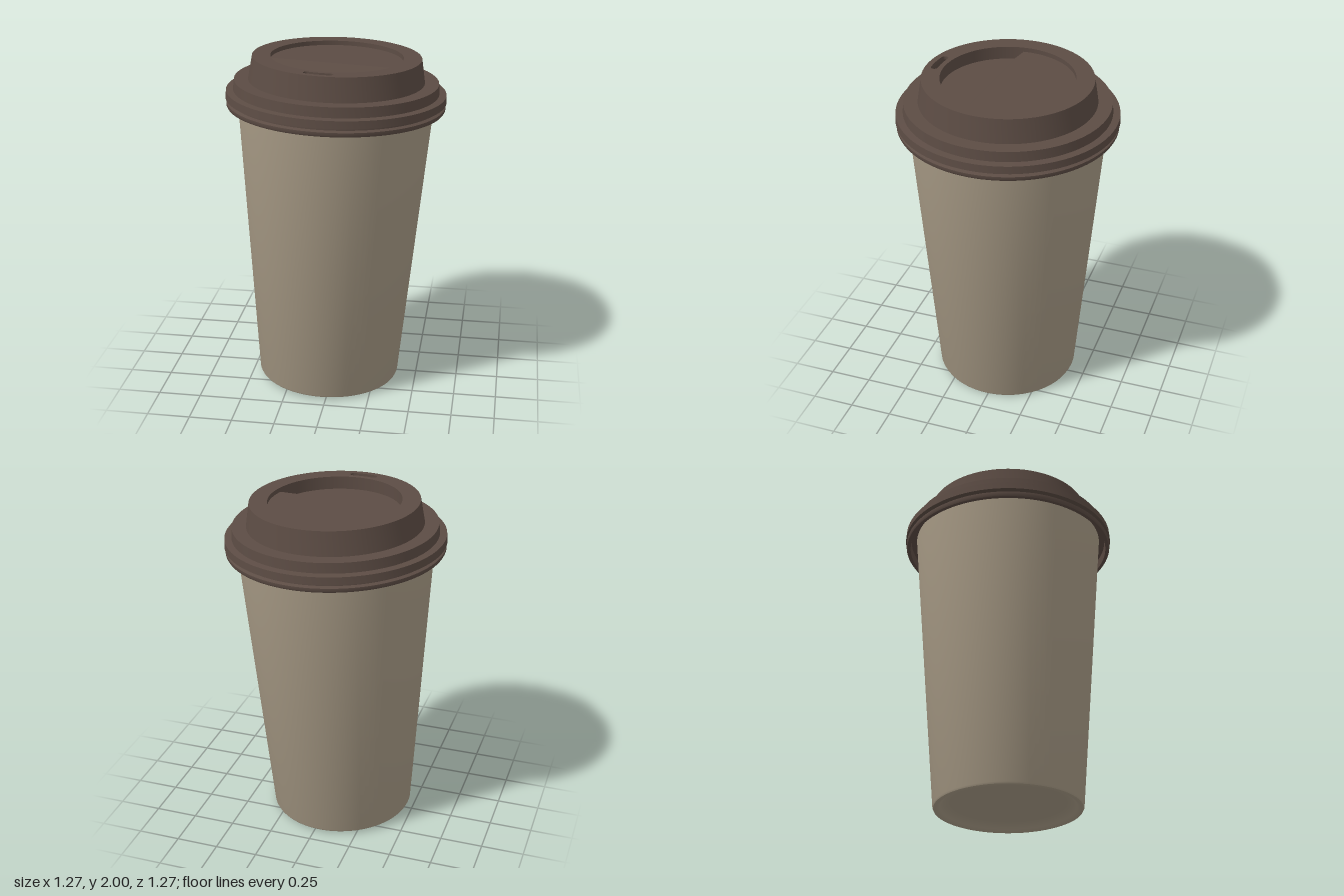
import * as THREE from 'three';
import { toCreasedNormals } from 'three/addons/utils/BufferGeometryUtils.js';

const SEG = 96;
const TOP = 1.975;      // top of the lid
const RECESS_R = 0.38;  // round recess in the lid
const cupMat = new THREE.MeshStandardMaterial({ color: 0xa89b86, side: THREE.DoubleSide });
const lidMat = new THREE.MeshStandardMaterial({ color: 0x5c4c44, side: THREE.DoubleSide });

function mesh(name, geometry, material) {
  const m = new THREE.Mesh(geometry, material);
  m.name = name;
  return m;
}

function lathe(name, points, material) {
  const g = new THREE.LatheGeometry(points.map(([r, y]) => new THREE.Vector2(r, y)), SEG);
  return mesh(name, toCreasedNormals(g, 0.6), material);
}

// Level part of the recess floor, bounded by an arc and its chord
function floorSegment(name, from, to, y) {
  const s = new THREE.Shape();
  s.absarc(0, 0, RECESS_R, from, to, false);
  s.closePath();
  const g = new THREE.ShapeGeometry(s, SEG);
  g.rotateX(-Math.PI / 2).translate(0, y, 0);
  return mesh(name, g, lidMat);
}

// Curved, round-ended drinking slot near the front edge
function sipSlot() {
  const r = 0.43, w = 0.02, a = 0.15, mid = -Math.PI / 2;
  const p = new THREE.Path();
  p.absarc(0, 0, r + w, mid - a, mid + a, false);
  p.absarc(r * Math.cos(mid + a), r * Math.sin(mid + a), w, mid + a, mid + a + Math.PI, false);
  p.absarc(0, 0, r - w, mid + a, mid - a, true);
  p.absarc(r * Math.cos(mid - a), r * Math.sin(mid - a), w, mid - a + Math.PI, mid - a + 2 * Math.PI, false);
  return p;
}

function createCup() {
  // Recessed base, tapered wall, open top and inner wall
  return lathe('cup', [
    [0, 0.04], [0.33, 0.04], [0.365, 0.032], [0.385, 0.015], [0.4, 0.003], [0.412, 0],
    [0.422, 0.004], [0.427, 0.014], [0.567, 1.74], [0.552, 1.74], [0.412, 0.06], [0, 0.06],
  ], cupMat);
}

function createLid() {
  const lid = new THREE.Group();
  lid.name = 'lid';

  // Stepped skirt with a snap groove
  lid.add(lathe('lidSkirt', [
    [0.56, 1.74], [0.6, 1.735], [0.605, 1.685], [0.625, 1.685], [0.63, 1.694], [0.63, 1.71],
    [0.612, 1.718], [0.612, 1.726], [0.635, 1.733], [0.632, 1.776], [0.592, 1.78],
    [0.587, 1.838], [0.506, 1.838], [0.484, TOP],
  ], lidMat));

  // Top ring pierced by the recess and the slot
  const ring = new THREE.Shape().absarc(0, 0, 0.484, 0, Math.PI * 2, false);
  ring.holes.push(new THREE.Path().absarc(0, 0, RECESS_R, 0, Math.PI * 2, true), sipSlot());
  const ringGeo = new THREE.ExtrudeGeometry(ring, { depth: 0.02, bevelEnabled: false, curveSegments: 48 });
  ringGeo.rotateX(-Math.PI / 2).translate(0, TOP - 0.02, 0);
  lid.add(mesh('lidTop', toCreasedNormals(ringGeo, 0.6), lidMat));

  // Recess: round wall, shallow back floor, deep front floor, ramp between
  const backY = TOP - 0.026, frontY = TOP - 0.075;
  const backZ = 0.07, frontZ = 0.122;
  const wall = new THREE.CylinderGeometry(RECESS_R, RECESS_R, TOP - frontY, SEG, 1, true);
  wall.translate(0, (TOP + frontY) / 2, 0);
  lid.add(mesh('recessWall', wall, lidMat));

  const a = Math.asin(backZ / RECESS_R), b = Math.asin(frontZ / RECESS_R);
  lid.add(floorSegment('recessBackFloor', -a, Math.PI + a, backY));
  lid.add(floorSegment('recessFrontFloor', Math.PI + b, 2 * Math.PI - b, frontY));

  const xa = RECESS_R * Math.cos(a), xb = RECESS_R * Math.cos(b);
  const ramp = new THREE.BufferGeometry();
  ramp.setAttribute('position', new THREE.Float32BufferAttribute([
    -xa, backY, backZ, -xb, frontY, frontZ, xb, frontY, frontZ, xa, backY, backZ,
  ], 3));
  ramp.setIndex([0, 1, 2, 0, 2, 3]);
  ramp.computeVertexNormals();
  lid.add(mesh('recessRamp', ramp, lidMat));
  return lid;
}

export function createModel() {
  const body = new THREE.Group();
  body.name = 'coffeeCup';
  body.add(createCup(), createLid());
  body.rotation.y = -0.094;

  // The whole cup leans slightly
  const lean = new THREE.Group();
  lean.name = 'leaningCup';
  lean.add(body);
  lean.rotation.set(-0.009, 0, -0.0245);
  lean.position.set(-0.044, 0.012, 0.016);

  const model = new THREE.Group();
  model.name = 'takeawayCup';
  model.add(lean);
  return model;
}
